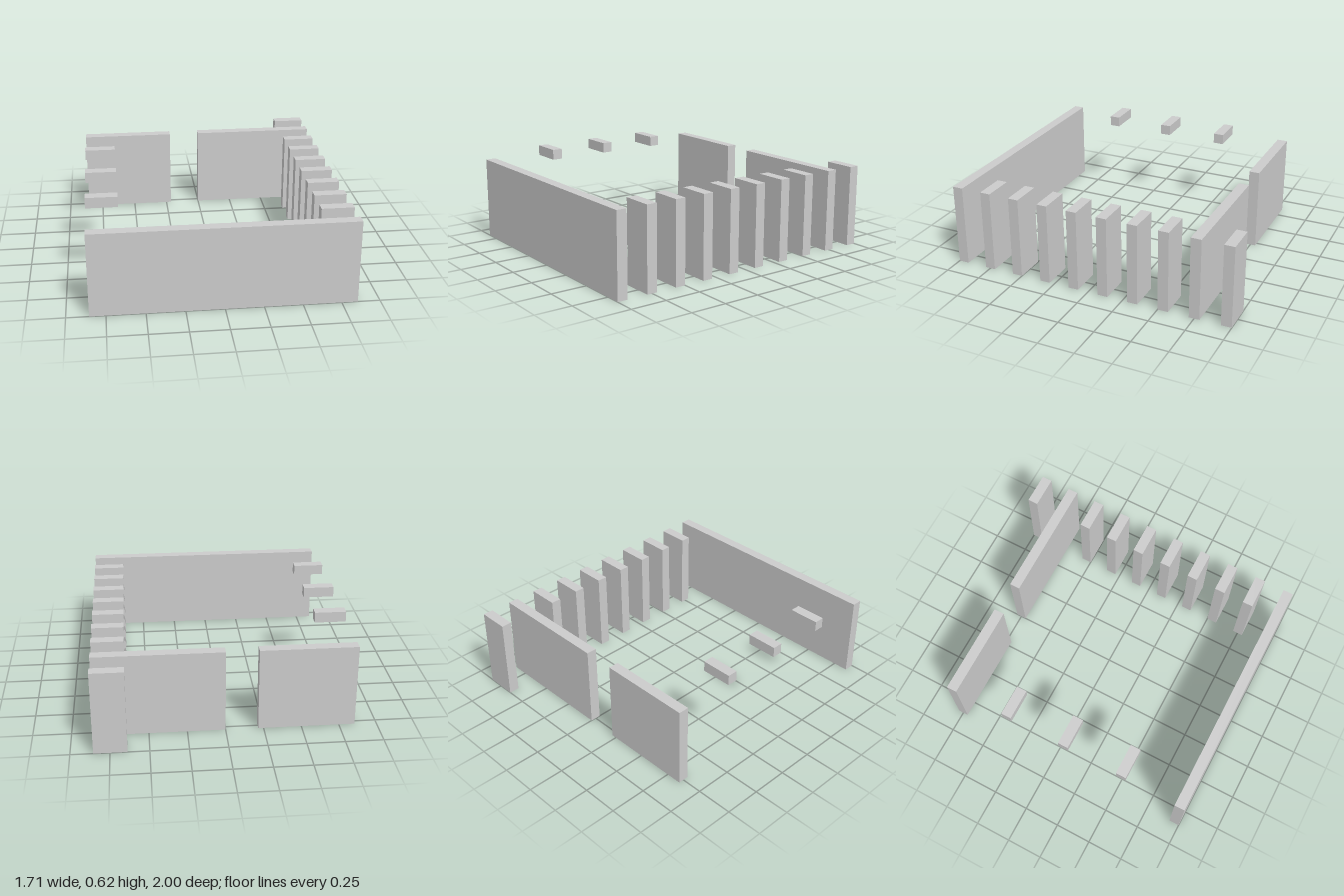
import * as THREE from 'three';

const material = new THREE.MeshStandardMaterial({ color: 0xcccccc, flatShading: true });
const THICK = 0.0714;   // thickness of every slab
const HEIGHT = 0.565;   // height of the walls and fins
const EDGE = 0.855;     // half of the total width

// Centre z of one of the ten evenly spaced rows, counted from the front
const rowZ = (i) => 0.9643 - i * (1.9286 / 9);

// Box standing across a row, given by its x and y ranges
function slab(name, row, x0, x1, y0 = 0, y1 = HEIGHT) {
  const mesh = new THREE.Mesh(new THREE.BoxGeometry(x1 - x0, y1 - y0, THICK), material);
  mesh.name = name;
  mesh.position.set((x0 + x1) / 2, (y0 + y1) / 2, rowZ(row));
  return mesh;
}

export function createModel() {
  const model = new THREE.Group();
  model.name = 'slabEnclosure';

  // Long wall at the front, wall with a gap near the back
  model.add(slab('frontWall', 0, -EDGE, EDGE));
  model.add(slab('backWallRight', 8, -EDGE, -0.215));
  model.add(slab('backWallLeft', 8, 0, EDGE));

  // Row of upright fins along the left side
  const fins = new THREE.Group();
  fins.name = 'leftFins';
  for (const row of [1, 2, 3, 4, 5, 6, 7, 9]) fins.add(slab('fin', row, 0.64, EDGE));
  model.add(fins);

  // Short raised blocks along the right side
  const blocks = new THREE.Group();
  blocks.name = 'rightBlocks';
  for (const row of [2, 4, 6]) blocks.add(slab('block', row, -EDGE, -0.643, 0.546, 0.618));
  model.add(blocks);

  return model;
}
